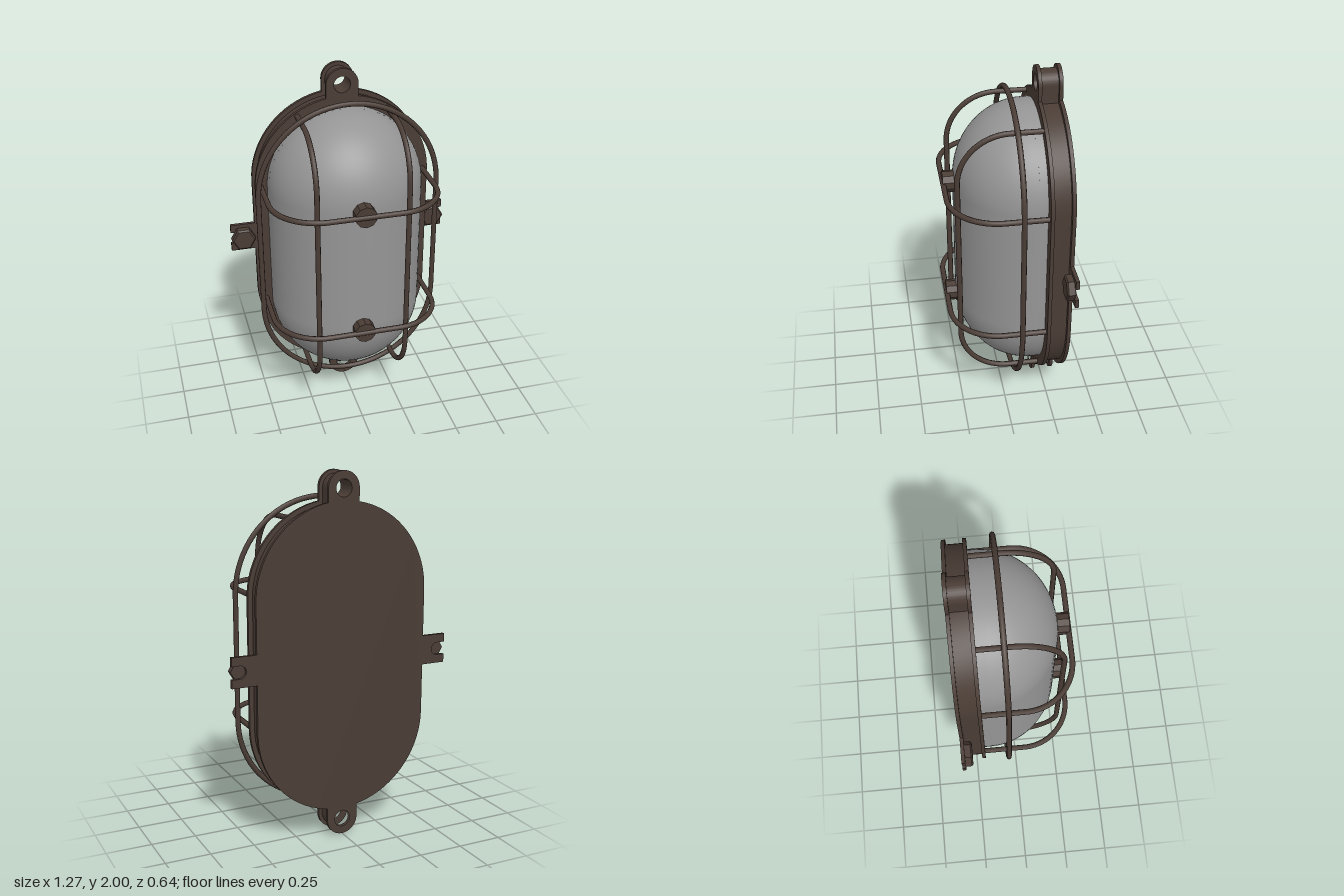
import * as THREE from 'three';
import { toCreasedNormals } from 'three/addons/utils/BufferGeometryUtils.js';

const HALF = 0.35; // half the straight length of the oval outline

export function createModel() {
  const model = new THREE.Group();
  model.name = 'bulkheadLamp';
  const iron = new THREE.MeshStandardMaterial({ name: 'darkBrownIron', color: 0x4a3c35 });
  const glass = new THREE.MeshStandardMaterial({ name: 'greyGlass', color: 0x959595 });

  const add = (name, geometry, material = iron, parent = model) => {
    const mesh = new THREE.Mesh(geometry, material);
    mesh.name = name;
    parent.add(mesh);
    return mesh;
  };

  // Upright oval with round ends, centred on y = 1
  const oval = (r, half = HALF) => {
    const s = new THREE.Shape();
    s.moveTo(r, 1 - half);
    s.lineTo(r, 1 + half);
    s.absarc(0, 1 + half, r, 0, Math.PI, false);
    s.lineTo(-r, 1 - half);
    s.absarc(0, 1 - half, r, Math.PI, Math.PI * 2, false);
    return s;
  };

  // Flat slab between two depths
  const slab = (shape, z0, z1) => {
    const g = new THREE.ExtrudeGeometry(shape, { depth: z1 - z0, bevelEnabled: false, curveSegments: 20 });
    g.translate(0, 0, z0);
    return toCreasedNormals(g, 0.6);
  };

  // Hanging eye above (dir 1) or below (dir -1)
  const eye = (r, dir) => {
    const cy = 1 + dir * 0.91, inner = 1 + dir * 0.8;
    const s = new THREE.Shape();
    s.moveTo(r, inner);
    s.lineTo(r, cy);
    s.absarc(0, cy, r, 0, Math.PI, dir < 0);
    s.lineTo(-r, inner);
    s.closePath();
    const hole = new THREE.Path();
    hole.absarc(0, cy, 0.046, 0, Math.PI * 2, true);
    s.holes.push(hole);
    return s;
  };

  // Housing: back plate, wall and front flange, with matching eyes
  const layers = [
    ['backPlate', 0.497, 0.09, -0.322, -0.302],
    ['housingWall', 0.472, 0.07, -0.302, -0.212],
    ['frontFlange', 0.497, 0.09, -0.212, -0.192],
  ];
  for (const [name, r, eyeR, z0, z1] of layers) {
    add(name, slab(oval(r), z0, z1));
    add(name + 'TopEye', slab(eye(eyeR, 1), z0, z1));
    add(name + 'BottomEye', slab(eye(eyeR, -1), z0, z1));
  }

  // Glass dome: half a capsule on a short straight collar
  const profile = [];
  for (const end of [-1, 1]) {
    for (let i = 0; i <= 16; i++) {
      const a = (end < 0 ? i / 16 - 1 : i / 16) * Math.PI / 2;
      profile.push(new THREE.Vector2(Math.max(0, 0.43 * Math.cos(a)), end * 0.36 + 0.43 * Math.sin(a)));
    }
  }
  const dome = new THREE.LatheGeometry(profile, 40, -Math.PI / 2, Math.PI);
  dome.scale(1, 1, 0.4 / 0.43);
  dome.translate(0, 1, -0.15);
  add('glassDome', dome, glass);
  add('glassCollar', slab(oval(0.43, 0.36), -0.2, -0.15), glass);

  // Round wire along a flat path, placed in space by a mapping
  const wire = (name, path, place, closed = false) => {
    const pts = path.getSpacedPoints(90).map(place);
    if (closed) pts.pop();
    const curve = new THREE.CatmullRomCurve3(pts, closed);
    return add(name, new THREE.TubeGeometry(curve, 120, 0.015, 8, closed));
  };

  // Bow with rounded corners: w half width, d front depth, r corner radius
  const bow = (w, d, r) => {
    const p = new THREE.Path();
    p.moveTo(w, -0.2);
    p.lineTo(w, d - r);
    p.absarc(w - r, d - r, r, 0, Math.PI / 2, false);
    p.lineTo(r - w, d);
    p.absarc(r - w, d - r, r, Math.PI / 2, Math.PI, false);
    p.lineTo(-w, -0.2);
    return p;
  };

  // Guard cage
  wire('cageRing', oval(0.505, 0.347), p => new THREE.Vector3(p.x, p.y, -0.055), true);
  for (const x of [-0.25, 0.25]) {
    wire('uprightWire', bow(0.755, 0.253, 0.275), p => new THREE.Vector3(x, 1 + p.x, p.y));
  }
  for (const y of [0.638, 1.364]) {
    wire('crossWire', bow(0.466, 0.304, 0.266), p => new THREE.Vector3(p.x, y, p.y));
    // Stud between glass and wire
    const stud = new THREE.CylinderGeometry(0.06, 0.06, 0.08, 10);
    stud.rotateX(Math.PI / 2);
    add('stud', toCreasedNormals(stud, 0.5)).position.set(0, y, 0.268);
  }

  // Slotted side tabs with hexagonal bolts
  for (const side of [1, -1]) {
    const tab = new THREE.Group();
    tab.name = side > 0 ? 'leftTab' : 'rightTab';
    if (side < 0) tab.rotation.z = Math.PI;
    tab.position.y = 1;
    const s = new THREE.Shape();
    s.moveTo(0.45, -0.082);
    s.lineTo(0.636, -0.082);
    s.lineTo(0.636, -0.035);
    s.lineTo(0.59, -0.035);
    s.absarc(0.59, 0, 0.035, -Math.PI / 2, Math.PI / 2, true);
    s.lineTo(0.636, 0.035);
    s.lineTo(0.636, 0.082);
    s.lineTo(0.45, 0.082);
    s.closePath();
    add('tabPlate', slab(s, -0.322, -0.302), iron, tab);
    const head = new THREE.CylinderGeometry(0.07, 0.07, 0.035, 6);
    const chamfer = new THREE.CylinderGeometry(0.06, 0.07, 0.008, 6);
    [[head, -0.2865, 'boltHead'], [chamfer, -0.265, 'boltChamfer']].forEach(([g, z, name]) => {
      g.rotateY(Math.PI / 2);
      g.rotateX(Math.PI / 2);
      g.translate(0.566, 0, z);
      add(name, toCreasedNormals(g, 0.3), iron, tab);
    });
    model.add(tab);
  }
  return model;
}
